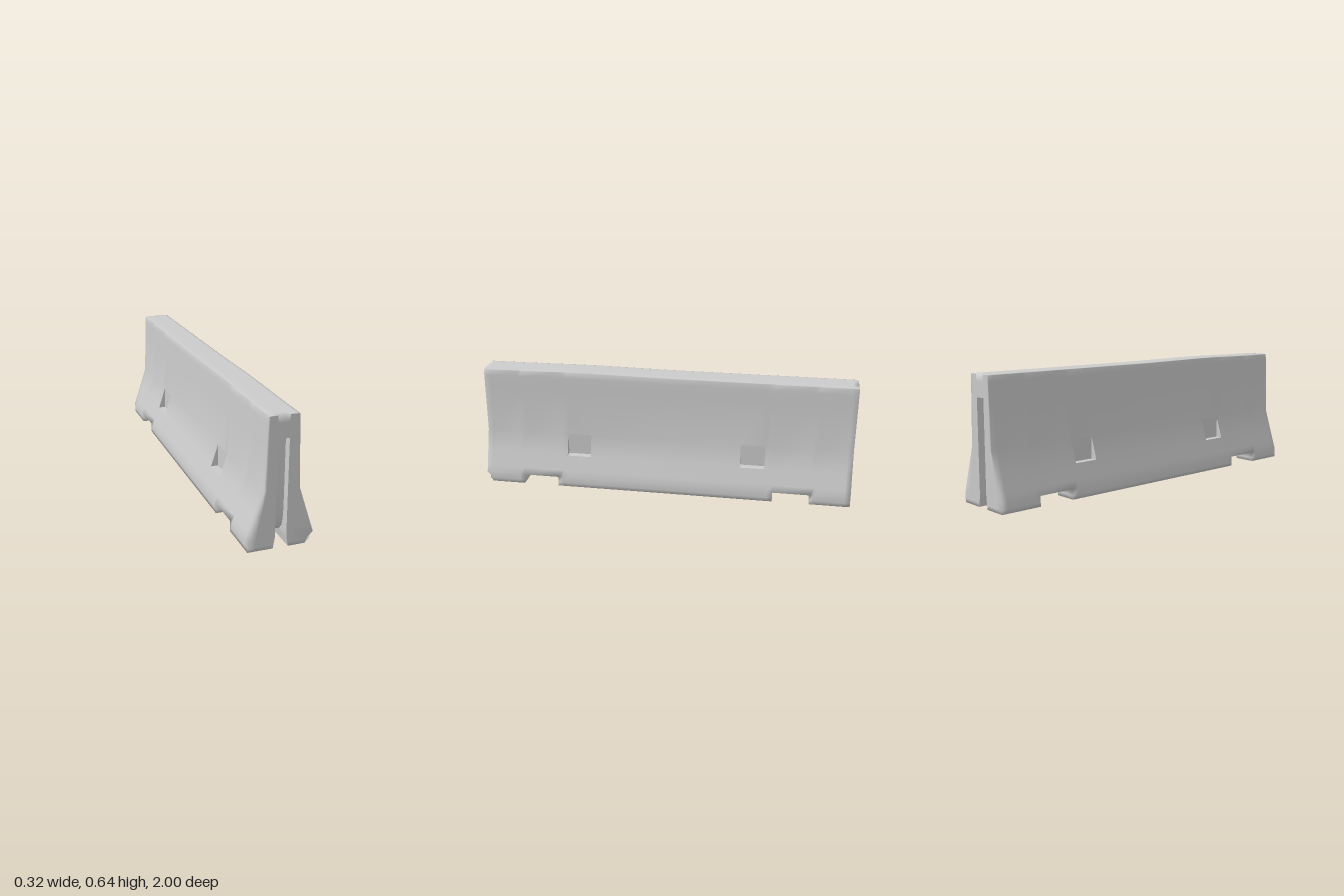
import * as THREE from 'three';
import { mergeVertices, toCreasedNormals } from 'three/addons/utils/BufferGeometryUtils.js';

// Half profile of the side, from the crown down to the foot: [x, y]
const CROWN = [[0, 0.636], [0.028, 0.636], [0.053, 0.636], [0.0656, 0.635]];
const SIDE = [[0.073, 0.633], [0.0745, 0.6], [0.077, 0.525], [0.085, 0.285], [0.122, 0.17], [0.148, 0.09], [0.16, 0.053]];
const FOOT = [[0.16, 0.053], [0.16, 0.02], [0.16, 0]];
const SOLE = [[0.16, 0], [0.12, 0], [0.053, 0], [0.037, 0]];
const GROOVE = [[0.037, 0], [0.028, 0.053]];
const NOTCH_ROOF = [[0.16, 0.053], [0.12, 0.053], [0.053, 0.053], [0.028, 0.053]];
const POCKET = [[0.085, 0.285], [0.085, 0.17], [0.122, 0.17]];
// Stations along the length, with closer ones beside edges
const Z = [0, 0.41, 0.54, 0.56, 0.59, 0.785, 0.81, 0.97, 1];
const NOTCH = [0.59, 0.785];

// Collects faces of one quarter and mirrors them to all four
class Quarter {
  constructor() { this.pos = []; }

  face(...pts) {
    for (const sx of [1, -1]) {
      for (const sz of [1, -1]) {
        const p = pts.map(([x, y, z]) => settle(x * sx, y, z * sz));
        if (sx * sz < 0) p.reverse();
        for (let i = 1; i < p.length - 1; i++) this.pos.push(...p[0], ...p[i], ...p[i + 1]);
      }
    }
  }

  // Strip of a profile between two stations
  skin(profile, z0, z1) {
    for (let i = 0; i < profile.length - 1; i++) {
      const [a, b] = [profile[i], profile[i + 1]];
      this.face([...a, z0], [...a, z1], [...b, z1], [...b, z0]);
    }
  }

  // Upright wall across the profile, facing along z
  wall(rows, z, flip = false) {
    const columns = ([x, y]) => {
      const inner = 0.028 + 0.009 * Math.max(0, 1 - y / 0.053);
      return [inner, 0.053, x - (x - 0.053) * 0.374, x];
    };
    for (let i = 0; i < rows.length - 1; i++) {
      const [u, l] = [columns(rows[i]), columns(rows[i + 1])];
      const [yu, yl] = [rows[i][1], rows[i + 1][1]];
      for (let j = 0; j < 3; j++) {
        const q = [[u[j], yu, z], [l[j], yl, z], [l[j + 1], yl, z], [u[j + 1], yu, z]];
        this.face(...(flip ? q.reverse() : q));
      }
    }
  }

  mesh(name, crease) {
    let g = new THREE.BufferGeometry();
    g.setAttribute('position', new THREE.Float32BufferAttribute(this.pos, 3));
    if (crease) {
      g = toCreasedNormals(g, crease);
    } else {
      g = mergeVertices(g, 1e-4);
      g.computeVertexNormals();
    }
    const m = new THREE.Mesh(g, new THREE.MeshStandardMaterial({ color: 0xcccccc }));
    m.name = name;
    return m;
  }
}

// Slight wear: a shallow hump in the crown and one knocked-off foot corner
function settle(x, y, z) {
  if (y > 0.59) y += 0.005 * Math.exp(-(((z - 0.45) / 0.25) ** 2)) - 0.001;
  if (x > 0.159 && z > 0.999 && y < 0.03) z = y < 0.01 ? 0.95 : 0.97;
  return [x, y, z];
}

export function createModel() {
  const group = new THREE.Group();
  const shell = new Quarter();
  const channel = new Quarter();
  const pockets = new Quarter();

  for (let k = 0; k < Z.length - 1; k++) {
    const [z0, z1] = [Z[k], Z[k + 1]];
    // Crown and flared sides, left open where the pocket sits
    shell.skin([...CROWN, SIDE[0]], z0, z1);
    if (z0 === 0.41) {
      shell.skin(SIDE.slice(0, 4), z0, z1);
      shell.skin(SIDE.slice(4), z0, z1);
    } else {
      shell.skin(SIDE, z0, z1);
    }
    // Feet with the lengthwise groove, or the notch between them
    if (z0 === NOTCH[0]) {
      shell.skin(NOTCH_ROOF, z0, z1);
    } else {
      shell.skin(FOOT, z0, z1);
      shell.skin(SOLE, z0, z1);
      channel.skin(GROOVE, z0, z1);
    }
  }
  shell.wall(FOOT, NOTCH[0]);
  shell.wall(FOOT, NOTCH[1], true);

  // End faces, closed above the slot
  shell.wall([...SIDE, ...FOOT.slice(1)], 1);
  for (let i = 0; i < 2; i++) {
    const yu = i === 0 ? 0.636 : SIDE[i][1];
    const yl = SIDE[i + 1][1];
    shell.face([0, yu, 1], [0, yl, 1], [0.028, yl, 1], [0.028, yu, 1]);
  }
  // Thin cap under the crown edge
  shell.face([0.028, 0.636, 1], [0.028, 0.633, 1], [0.053, 0.633, 1], [0.053, 0.636, 1]);
  shell.face([0.053, 0.636, 1], [0.053, 0.633, 1], [0.0655, 0.633, 1], [0.0656, 0.635, 1]);
  shell.face([0.0656, 0.635, 1], [0.0655, 0.633, 1], [0.073, 0.633, 1]);

  // End slot whose back curves into the roof of the groove: [z, y]
  const back = [[0.96, 0.525], [0.96, 0.17], [0.955, 0.12], [0.945, 0.08], [0.92, 0.053], [0, 0.053]];
  const w = 0.028;
  for (let i = 0; i < back.length - 1; i++) {
    const [[zu, yu], [zl, yl]] = [back[i], back[i + 1]];
    channel.face([0, yu, zu], [0, yl, zl], [w, yl, zl], [w, yu, zu]);
    if (zl > 0) channel.face([w, yu, zu], [w, yl, zl], [w, yl, 1], [w, yu, 1]);
  }
  channel.face([0, 0.525, 0.96], [w, 0.525, 0.96], [w, 0.525, 1], [0, 0.525, 1]);

  // Lifting pockets cut into the slopes
  pockets.skin(POCKET, 0.41, 0.54);
  pockets.face(...POCKET.map((p) => [...p, 0.41]));
  pockets.face(...POCKET.map((p) => [...p, 0.54]).reverse());

  group.add(
    shell.mesh('barrierBody'),
    channel.mesh('endSlotsAndGroove', 0.8),
    pockets.mesh('liftingPockets', 0.8),
  );
  return group;
}
